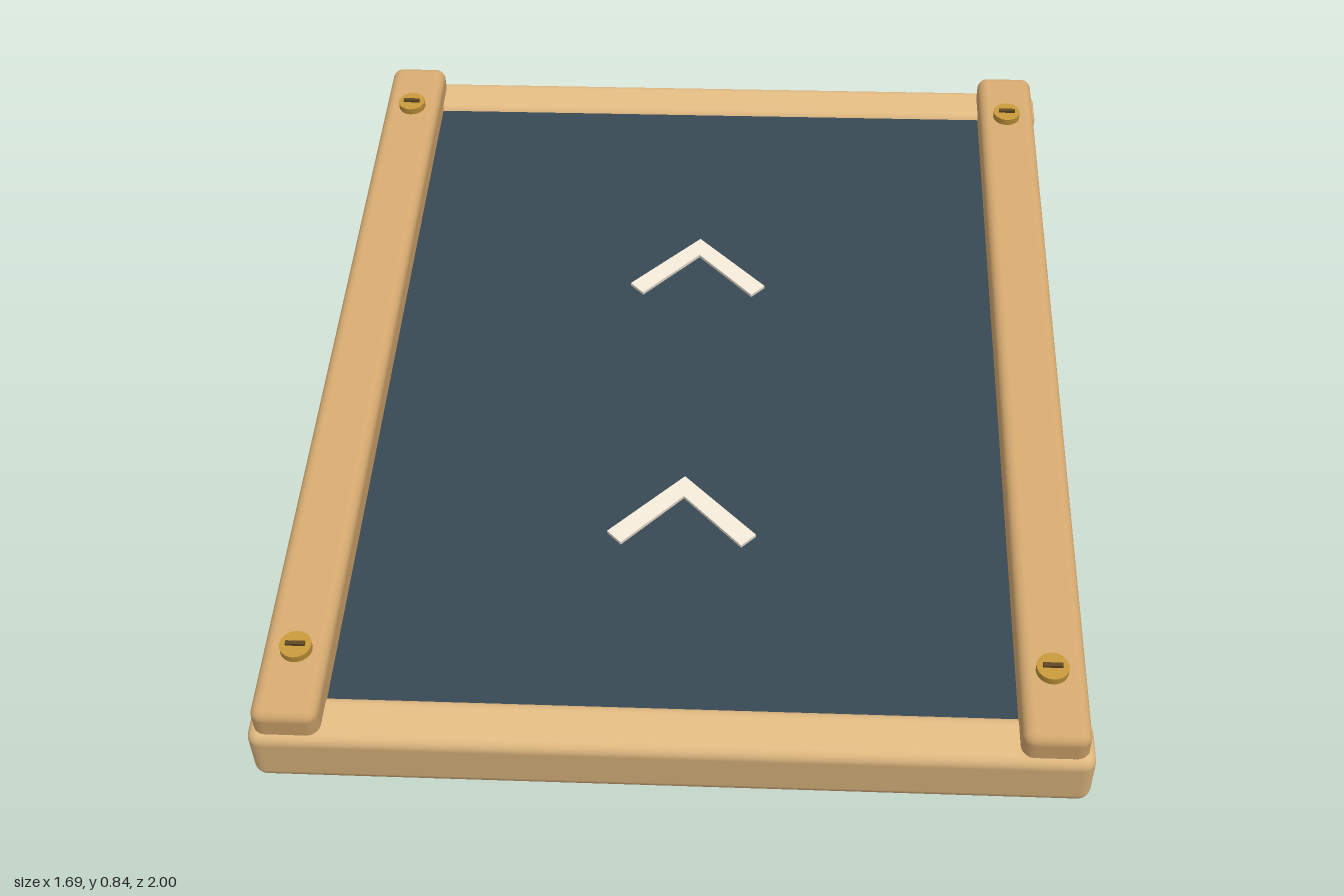
import * as THREE from 'three';
import { RoundedBoxGeometry } from 'three/addons/geometries/RoundedBoxGeometry.js';

const material = (color) => new THREE.MeshStandardMaterial({ color });

export function createModel() {
  const model = new THREE.Group();
  const railWood = material(0xd2a76e);
  const barWood = material(0xdfb880);
  const slate = material(0x364652);
  const rubber = material(0x2c3c48);
  const brass = material(0xc2953a);
  const dark = material(0x5a4520);
  const ivory = material(0xefe5d4);

  function add(parent, name, geometry, mat, x, y, z) {
    const mesh = new THREE.Mesh(geometry, mat);
    mesh.name = name;
    mesh.position.set(x, y, z);
    parent.add(mesh);
    return mesh;
  }
  const rounded = (w, h, d, r) => new RoundedBoxGeometry(w, h, d, 3, r);

  // Sloping deck, built flat and then tilted
  const deck = new THREE.Group();
  deck.name = 'deck';
  deck.position.y = 0.44;
  deck.rotation.x = THREE.MathUtils.degToRad(18.7);
  model.add(deck);

  add(deck, 'panel', new THREE.BoxGeometry(1.42, 0.06, 1.9), slate, 0, -0.01, 0);
  add(deck, 'frontCrossbar', rounded(1.69, 0.142, 0.116, 0.028), barWood, 0, -0.044, 0.988);
  add(deck, 'backCrossbar', rounded(1.69, 0.142, 0.116, 0.028), barWood, 0, -0.038, -0.971);

  // Raised chevron markers pointing up the slope
  const chevron = new THREE.Shape([
    [0, 0.085], [0.16, -0.075], [0.129, -0.106], [0, 0.028], [-0.129, -0.106], [-0.16, -0.075],
  ].map(([x, y]) => new THREE.Vector2(x, y)));
  const chevronGeometry = new THREE.ExtrudeGeometry(chevron, { depth: 0.008, bevelEnabled: false });
  chevronGeometry.rotateX(-Math.PI / 2);
  for (const z of [-0.348, 0.418]) add(deck, 'chevron', chevronGeometry, ivory, 0, 0.024, z);

  // Flat screw heads with a cross strip on top
  const headGeometry = new THREE.CylinderGeometry(0.033, 0.033, 0.018, 24);
  const stripGeometry = new THREE.BoxGeometry(0.04, 0.008, 0.009);

  for (const side of [-1, 1]) {
    const label = side > 0 ? 'left' : 'right';
    add(deck, label + 'Rail', rounded(0.136, 0.173, 2.05, 0.025), railWood, side * 0.763, 0.001, 0.007);

    for (const z of [-0.852, 0.868]) {
      const screw = new THREE.Group();
      screw.name = label + 'Screw';
      screw.position.set(side * 0.76, 0.087, z);
      deck.add(screw);
      add(screw, 'screwHead', headGeometry, brass, 0, 0.008, 0);
      add(screw, 'screwStrip', stripGeometry, dark, 0, 0.019, 0);
    }

    // Upright back leg and rubber feet
    add(model, label + 'BackLeg', rounded(0.13, 0.68, 0.132, 0.014), railWood, side * 0.74, 0.34, -0.806);
    add(model, label + 'BackFoot', rounded(0.196, 0.068, 0.226, 0.014), rubber, side * 0.74, 0.035, -0.806);
    add(model, label + 'FrontFoot', rounded(0.196, 0.068, 0.2, 0.014), rubber, side * 0.74, 0.035, 0.835);
  }

  return model;
}
